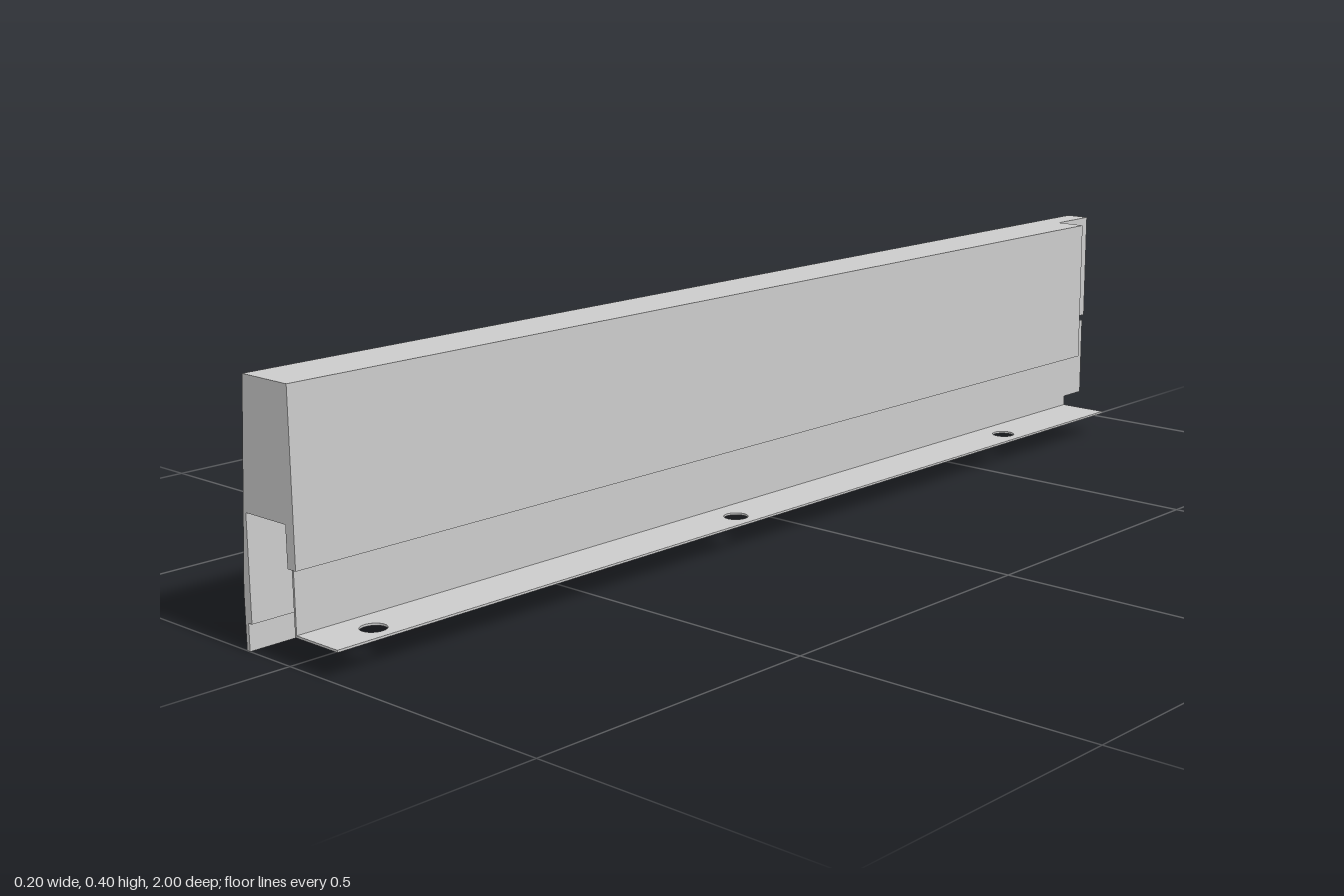
import * as THREE from 'three';

const material = new THREE.MeshStandardMaterial({ color: 0xcccccc });

function polygon(points) {
  return new THREE.Shape(points.map(([x, y]) => new THREE.Vector2(x, y)));
}

function extrude(shape, depth) {
  return new THREE.ExtrudeGeometry(shape, { depth, bevelEnabled: false, curveSegments: 24 });
}

export function createModel() {
  const group = new THREE.Group();
  const add = (name, geometry) => {
    const mesh = new THREE.Mesh(geometry, material);
    mesh.name = name;
    group.add(mesh);
  };

  // Outer wall shared by both rail sections: thin lower lip and sloped face
  const wall = [[-0.075, 0.404], [-0.099, 0.09], [-0.099, 0], [-0.092, 0],
    [-0.092, 0.042], [-0.084, 0.042], [-0.084, 0.205]];

  // Main rail with a hollow underside and a short inner skirt
  const main = polygon([...wall, [0.006, 0.205], [0.006, 0.142], [0.024, 0.142], [0.024, 0.404]]);
  add('railBody', extrude(main, 1.902).translate(0, 0, -0.902));

  // Notched rear end, cut back on the inner side
  const end = polygon([...wall, [-0.031, 0.205], [-0.031, 0.404]]);
  add('railNotchedEnd', extrude(end, 0.098).translate(0, 0, -1));

  // Sheet bracket: top flange under the rail
  const front = 0.992, back = -0.935;
  const flange = new THREE.BoxGeometry(0.087, 0.004, front - back);
  add('bracketTopFlange', flange.translate(-0.0375, 0.2065, (front + back) / 2));

  // Sheet bracket: web, stepped at its rear lower corner (drawn in z, y)
  const web = polygon([[front, 0.041], [front, 0.2085], [back, 0.2085], [back, 0.062],
    [-0.88, 0.062], [-0.88, 0.041]].map(([z, y]) => [-z, y]));
  add('bracketWeb', extrude(web, 0.0035).rotateY(Math.PI / 2).translate(0.0045, 0, 0));

  // Sheet bracket: foot with three screw holes (drawn in x, -z)
  const foot = polygon([[0.006, -front], [0.098, -front], [0.098, 0.88], [0.006, 0.88]]);
  for (const z of [-0.6, 0.15, 0.9]) {
    foot.holes.push(new THREE.Path().absarc(0.06, -z, 0.02, 0, Math.PI * 2, true));
  }
  add('bracketFoot', extrude(foot, 0.0035).rotateX(-Math.PI / 2).translate(0, 0.041, 0));

  return group;
}
